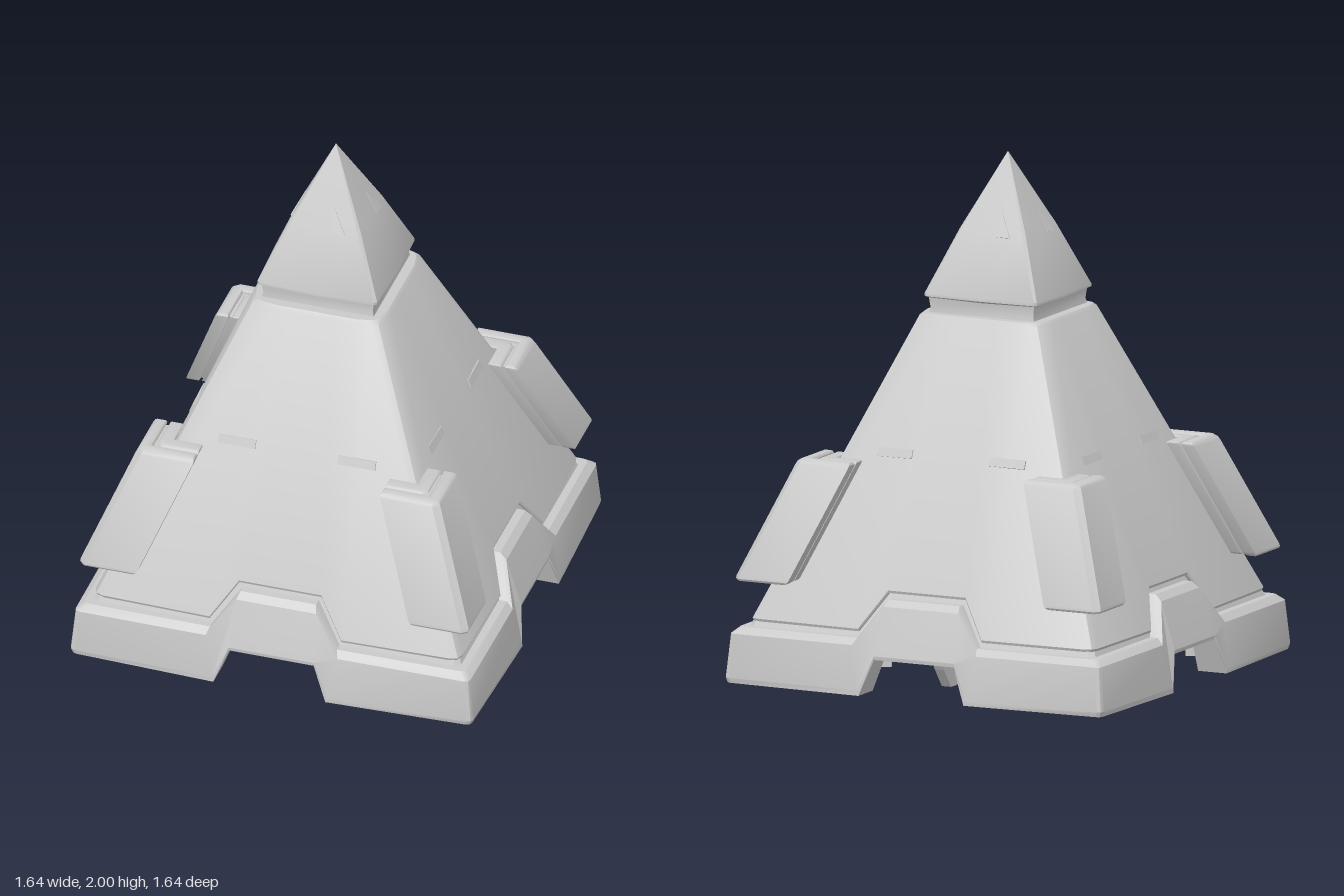
import * as THREE from 'three';
import { toCreasedNormals } from 'three/addons/utils/BufferGeometryUtils.js';

const SLOPE = 0.417;
const half = (y) => 0.27 + SLOPE * (1.39 - y); // half width of the body at a height

// Lofts sections (points running upward on the outside) around four equal sides.
function loftFourSides(sections, crease = 0.45) {
  const all = [];
  for (let k = 0; k < 4; k++) {
    const c = Math.round(Math.cos(k * Math.PI / 2)), s = Math.round(Math.sin(k * Math.PI / 2));
    for (const sec of sections) all.push(sec.map(([x, y, z]) => [x * c + z * s, y, -x * s + z * c]));
  }
  const m = all[0].length, n = all.length, index = [];
  for (let i = 0; i < n; i++) {
    for (let j = 0; j < m - 1; j++) {
      const a = i * m + j, b = ((i + 1) % n) * m + j;
      index.push(a, b, b + 1, a, b + 1, a + 1);
    }
  }
  const g = new THREE.BufferGeometry();
  g.setAttribute('position', new THREE.Float32BufferAttribute(all.flat(2), 3));
  g.setIndex(index);
  return toCreasedNormals(g, crease);
}

// Corner section: x follows z, leaving a small chamfer.
const corner = (sign, chamfer, yz) => yz.map(([y, z]) => [sign * Math.max(0, z - chamfer), y, z]);
const mirrorX = (sec) => sec.map(([x, y, z]) => [-x, y, z]);
// One side from its left corner to its right corner, then the middle of the rounded corner.
const side = (chamfer, cornerYZ, a, b) => [
  corner(-1, chamfer, cornerYZ), mirrorX(a), mirrorX(b), b, a, corner(1, chamfer, cornerYZ),
  corner(1, 0, cornerYZ.map(([y, z]) => [y, z - chamfer * 0.29])),
];

export function createModel() {
  const root = new THREE.Group();
  const grey = new THREE.MeshStandardMaterial({ color: 0xcacaca });
  grey.name = 'light grey';

  const add = (name, geometry, parent = root) => {
    const mesh = new THREE.Mesh(geometry, grey);
    mesh.name = name;
    parent.add(mesh);
    return mesh;
  };
  const fourTimes = (name, build) => {
    for (let k = 0; k < 4; k++) {
      const g = new THREE.Group();
      g.name = name;
      g.rotation.y = k * Math.PI / 2;
      build(g);
      root.add(g);
    }
  };

  // Base skirt, with a raised step and an opening in the middle of each side
  const closed = (pts) => [...pts, pts[0]];
  const skirtA = closed([[0.225, 0, 0.822], [0.23, 0.02, 0.822], [0.265, 0.19, 0.796],
    [0.255, 0.215, 0.77], [0.255, 0.215, 0.72], [0.225, 0, 0.7]]);
  const skirtB = closed([[0.17, 0.14, 0.797], [0.17, 0.155, 0.8], [0.16, 0.338, 0.737],
    [0.152, 0.362, 0.71], [0.152, 0.362, 0.66], [0.17, 0.14, 0.7]]);
  const skirtCorner = closed([[0, 0.802], [0.02, 0.808], [0.19, 0.793], [0.215, 0.765],
    [0.215, 0.71], [0, 0.7]]);
  add('baseSkirt', loftFourSides(side(0.02, skirtCorner, skirtA, skirtB)));

  // Core behind the grooves, hollow underneath
  const coreProfile = [[0.3, 0], [0.3, half(0.3) - 0.09], [0.16, half(0.16) - 0.09],
    [0.16, half(0.16) - 0.022], [1.38, half(1.38) - 0.022], [1.38, 0]];
  add('innerCore', loftFourSides([corner(-1, 0.02, coreProfile), corner(1, 0.02, coreProfile)]));

  // Sloping outer shell, its lower edge following the skirt
  const shell = (xLow, yLow, xTop, drop) => [
    [xLow, yLow, half(yLow) - 0.05 - drop], [xLow, yLow, half(yLow) - 0.008 - drop],
    [xLow, yLow + 0.01, half(yLow + 0.01) - drop], [xTop, 1.38, half(1.38) - drop],
    [xTop, 1.392, half(1.38) - 0.012 - drop], [xTop * 0.8, 1.392, 0.19],
  ];
  const shellCorner = shell(0, 0.235, 0, 0.01).map(([, y, z]) => [y, z]);
  add('bodyShell', loftFourSides(side(0.04, shellCorner,
    shell(0.265, 0.235, 0.16, 0), shell(0.165, 0.382, 0.08, 0)), 0.65));

  // Neck and pointed cap
  add('neck', loftFourSides([corner(1, 0, [[1.37, 0.23], [1.41, 0.22], [1.45, 0.225]])]));
  const capSection = (f, d) => [[0, 1.445, 0], [0.21 * f, 1.445, 0.225 - d], [0.24 * f, 1.455, 0.25 - d],
    [0.24 * f, 1.467, 0.25 - d], [0.13 * f, 1.71, 0.146 - d * 0.6], [0, 2, 0]];
  const capCorner = capSection(0, 0.01).map(([, y, z]) => [y, z]);
  add('cap', loftFourSides([corner(-1, 0.01, capCorner), capSection(0, 0), corner(1, 0.01, capCorner)]));

  // Layered armour pads wrapped around the four corners
  const padLayer = (outer, inner, arm, top, bottom, bevel) => {
    const o = outer - bevel, a = arm + bevel, i = inner + bevel, c = 0.012;
    const shape = new THREE.Shape([[a, i], [i, i], [i, a], [o, a], [o, o - c], [o - c, o], [a, o]]
      .reverse().map(([x, y]) => new THREE.Vector2(x, y)));
    const g = new THREE.ExtrudeGeometry(shape, {
      depth: top - bottom - 2 * bevel, bevelEnabled: true, bevelSize: bevel,
      bevelThickness: bevel, bevelSegments: 3,
    }).rotateX(Math.PI / 2).translate(0, top - bevel, 0);
    const p = g.attributes.position;
    for (let v = 0; v < p.count; v++) {
      const shift = 0.4 * (0.85 - p.getY(v));
      p.setXYZ(v, p.getX(v) + shift, p.getY(v), p.getZ(v) + shift);
    }
    g.computeVertexNormals();
    return toCreasedNormals(g, 0.6);
  };
  fourTimes('cornerPad', (g) => {
    add('padOuterPlate', padLayer(0.604, 0.55, 0.37, 0.854, 0.392, 0.02), g);
    add('padMiddleLayer', padLayer(0.575, 0.51, 0.385, 0.84, 0.408, 0.006), g);
    add('padInnerPlate', padLayer(0.54, 0.485, 0.372, 0.85, 0.398, 0.01), g);
  });

  // Thin panels on the faces of the body and cap
  fourTimes('facePanels', (g) => {
    for (const s of [-1, 1]) {
      const panel = add('facePanel', new THREE.BoxGeometry(0.15, 0.035, 0.009), g);
      panel.position.set(s * 0.24, 0.885, half(0.885) - 0.002);
      panel.rotation.set(-Math.atan(SLOPE), s * 0.03, 0);
    }
    const tri = new THREE.Shape([[0.03, 0], [0.085, 0], [0.03, 0.1]].map(([x, y]) => new THREE.Vector2(x, y)));
    const plate = add('capPanel', new THREE.ExtrudeGeometry(tri, { depth: 0.006, bevelEnabled: false }), g);
    plate.position.set(0, 1.69, 0.15);
    plate.rotation.x = -0.46;
  });

  // Underside: turned central hub and four corner thrusters hanging in the hollow
  const turned = (pts) => toCreasedNormals(
    new THREE.LatheGeometry(pts.map(([r, y]) => new THREE.Vector2(r, y)), 32), 0.5);
  add('centreHub', turned([[0, 0.055], [0.25, 0.055], [0.27, 0.07], [0.27, 0.11], [0.24, 0.13], [0.24, 0.3]]));
  // Curved claw: a block bent around the thruster
  const clawShape = new THREE.Shape();
  clawShape.absarc(0, 0, 0.255, -0.4, 0.4, false);
  clawShape.absarc(0, 0, 0.215, 0.4, -0.4, true);
  const clawGeometry = new THREE.ExtrudeGeometry(clawShape, { depth: 0.12, bevelEnabled: false, curveSegments: 8 })
    .rotateX(Math.PI / 2).translate(0, 0.16, 0);
  fourTimes('cornerThruster', (g) => {
    const pod = add('thrusterPod', turned([[0, 0.05], [0.19, 0.05], [0.205, 0.065], [0.205, 0.1],
      [0.18, 0.12], [0.18, 0.3]]), g);
    pod.position.set(0.52, 0, 0.52);
    for (const a of [0.75, 1.25, 1.75]) {
      const claw = add('thrusterClaw', clawGeometry, g);
      claw.position.set(0.52, 0, 0.52);
      claw.rotation.y = (a - 0.5) * Math.PI;
    }
  });

  // Struts from the hub towards each opening
  fourTimes('hubStrut', (g) => {
    const profile = new THREE.Shape([[0.26, 0.3], [0.26, 0.08], [0.34, 0.05], [0.46, 0.005],
      [0.52, 0.005], [0.58, 0.08], [0.63, 0.16], [0.6, 0.3]].map(([x, y]) => new THREE.Vector2(x, y)));
    add('strutFin', new THREE.ExtrudeGeometry(profile, { depth: 0.04, bevelEnabled: false })
      .translate(0, 0, -0.02).rotateY(-Math.PI / 2), g);
    add('strutMount', new THREE.BoxGeometry(0.26, 0.18, 0.1).translate(0, 0.21, 0.6), g);
  });

  return root;
}
